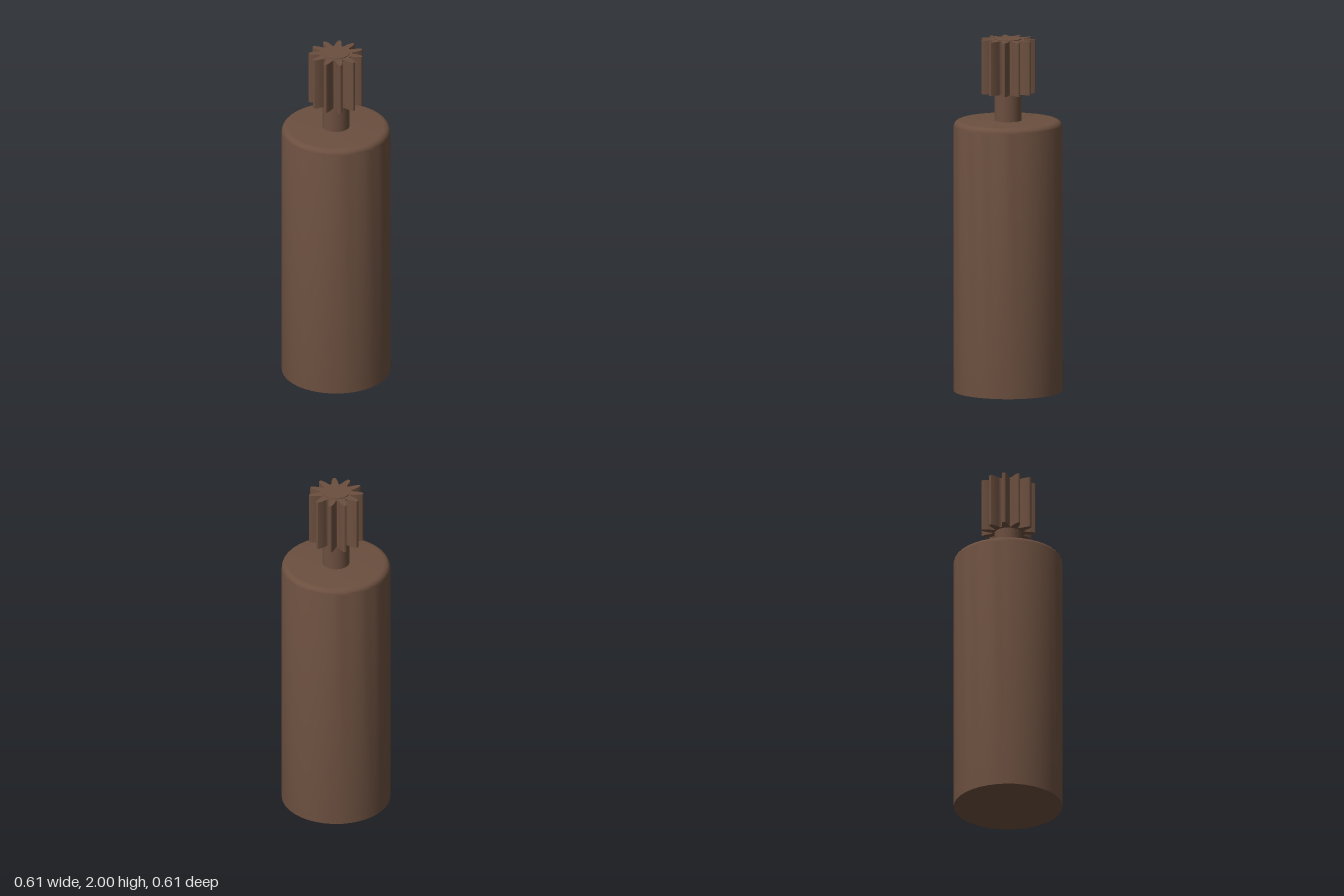
import * as THREE from 'three';
import { toCreasedNormals } from 'three/addons/utils/BufferGeometryUtils.js';

const TEETH = 11;
const GEAR_BOTTOM = 1.69, GEAR_TOP = 1.995;

// Half a tooth, from valley to tip: [radius, angle from tooth centre in degrees]
const HALF_TOOTH = [
  [0.089, 14.2], [0.094, 11.7], [0.105, 10.2], [0.127, 7.2],
  [0.145, 4.1], [0.151, 3], [0.153, 1.5],
];

function gearShape() {
  const pitch = 360 / TEETH;
  const mirrored = HALF_TOOTH.slice().reverse();
  const points = [];
  const add = (r, deg) => {
    const a = THREE.MathUtils.degToRad(deg);
    points.push(new THREE.Vector2(r * Math.cos(a), r * Math.sin(a)));
  };
  for (let i = 0; i < TEETH; i++) {
    const mid = i * pitch;
    add(0.0875, mid - pitch / 2);
    HALF_TOOTH.forEach(([r, a]) => add(r, mid - a));
    add(0.1535, mid);
    mirrored.forEach(([r, a]) => add(r, mid + a));
  }
  return new THREE.Shape(points);
}

export function createModel() {
  const group = new THREE.Group();
  const material = new THREE.MeshStandardMaterial({ color: 0x6b4f3f });
  const addPart = (name, geometry) => {
    const mesh = new THREE.Mesh(toCreasedNormals(geometry, 0.6), material);
    mesh.name = name;
    group.add(mesh);
  };

  // Motor housing: a cylinder with a rounded top rim
  const R = 0.305, H = 1.535, fillet = 0.035;
  const profile = [new THREE.Vector2(0, 0), new THREE.Vector2(R, 0)];
  for (let i = 0; i <= 6; i++) {
    const a = (i / 6) * Math.PI / 2;
    profile.push(new THREE.Vector2(R - fillet + fillet * Math.cos(a), H - fillet + fillet * Math.sin(a)));
  }
  profile.push(new THREE.Vector2(0, H));
  addPart('housing', new THREE.LatheGeometry(profile, 38));

  // Shaft running up through the pinion and just past its top
  const shaft = new THREE.CylinderGeometry(0.076, 0.076, 2 - H, 38);
  shaft.translate(0, (2 + H) / 2, 0);
  addPart('shaft', shaft);

  // Pinion gear
  const gear = new THREE.ExtrudeGeometry(gearShape(), { depth: GEAR_TOP - GEAR_BOTTOM, bevelEnabled: false });
  gear.rotateX(-Math.PI / 2);
  gear.translate(0, GEAR_BOTTOM, 0);
  addPart('pinion', gear);

  return group;
}
